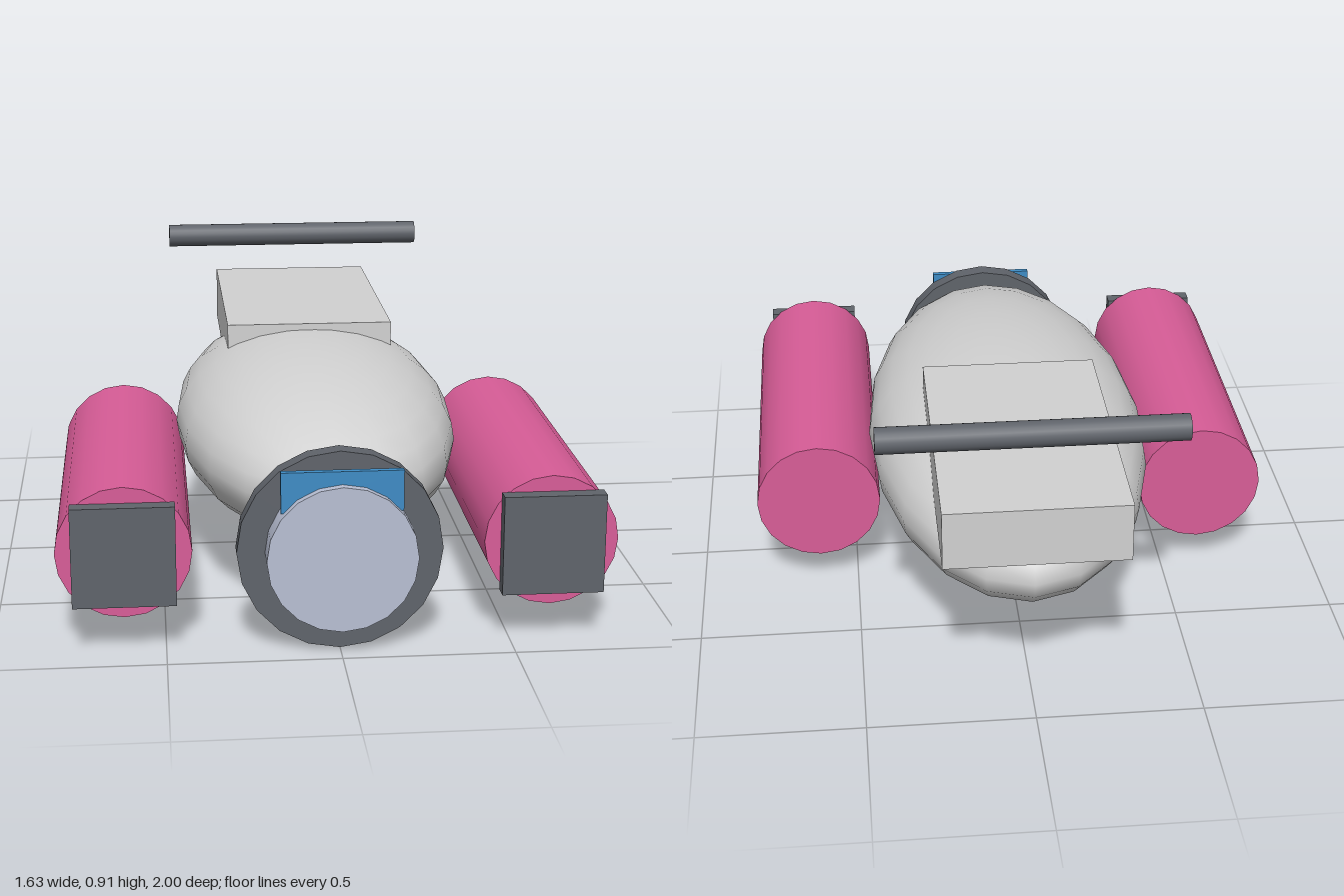
import * as THREE from 'three';

export function createModel() {
  const model = new THREE.Group();
  model.name = 'spacecraft';

  const material = (name, color) => {
    const m = new THREE.MeshStandardMaterial({ color });
    m.name = name;
    return m;
  };
  const hullGrey = material('hull grey', 0xd2d2d2);
  const darkGrey = material('dark grey', 0x60646b);
  const pink = material('pink', 0xd95d98);
  const paleBlue = material('pale blue', 0xb9c0d4);
  const blue = material('blue', 0x3f8cc5);

  const add = (name, geometry, mat, x, y, z) => {
    const mesh = new THREE.Mesh(geometry, mat);
    mesh.name = name;
    mesh.position.set(x, y, z);
    model.add(mesh);
    return mesh;
  };
  // Cylinder lying along z, from z0 to z1
  const rod = (name, radius, z0, z1, mat, x, y) =>
    add(name, new THREE.CylinderGeometry(radius, radius, z1 - z0, 20).rotateX(Math.PI / 2),
      mat, x, y, (z0 + z1) / 2);

  // Ellipsoid hull
  add('hull', new THREE.SphereGeometry(1, 20, 16).scale(0.445, 0.27, 0.945), hullGrey, 0, 0.432, 0);

  // Rear deck and the crossbar floating above it
  add('rearDeck', new THREE.BoxGeometry(0.54, 0.18, 0.895), hullGrey, 0, 0.63, -0.5525);
  add('crossbar', new THREE.CylinderGeometry(0.039, 0.039, 0.89, 20).rotateZ(Math.PI / 2),
    darkGrey, 0, 0.878, -0.85);

  // Nose: collar, lens and visor
  rod('noseCollar', 0.297, 0.86, 0.917, darkGrey, 0, 0.3);
  rod('noseLens', 0.216, 0.9, 1, paleBlue, 0, 0.3);
  add('visor', new THREE.BoxGeometry(0.348, 0.12, 0.02), blue, 0, 0.494, 0.963);

  // Side pods with square front caps
  for (const [side, x] of [['left', 0.617], ['right', -0.617]]) {
    rod(side + 'Pod', 0.196, -0.205, 0.888, pink, x, 0.302);
    add(side + 'PodCap', new THREE.BoxGeometry(0.297, 0.297, 0.048), darkGrey, x, 0.302, 0.91);
  }
  return model;
}
